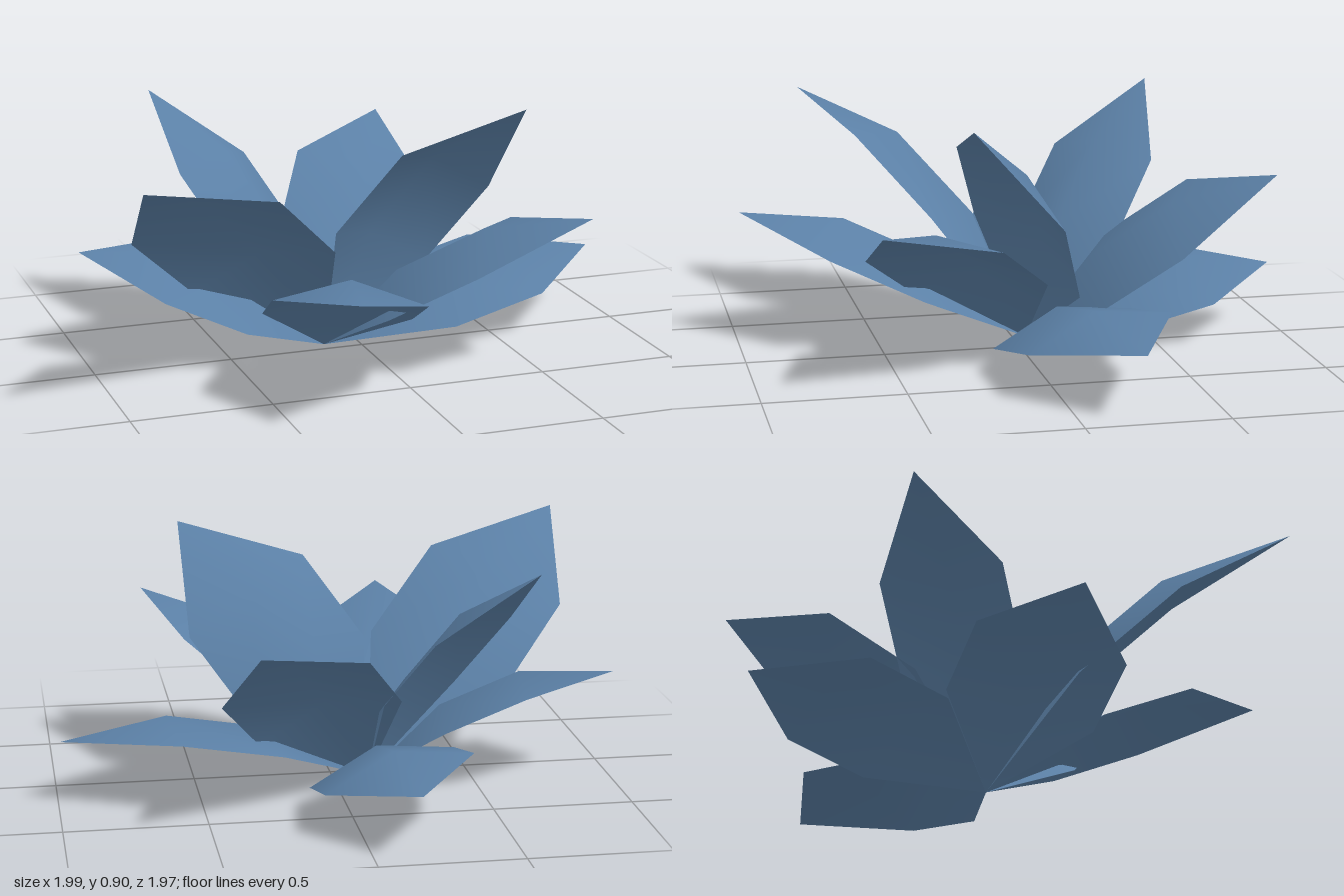
import * as THREE from 'three';

const leafBlue = new THREE.MeshStandardMaterial({ color: 0x5b80a6, side: THREE.DoubleSide });
leafBlue.name = 'leafBlue';

// All leaves sprout from one point at the bottom
const ROOT = new THREE.Vector3(-0.13, 0.005, -0.05);

// name, tip position, vector across the leaf, lift of its edges above the root-tip line
const LEAVES = [
  ['backLeaf', [-0.15, 0.235, -0.99], [0.52, -0.11, -0.04], 0.053],
  ['lowLeftLeaf', [0.99, 0.235, -0.21], [0.09, -0.095, 0.52], 0.053],
  ['frontLeaf', [-0.34, 0.48, 0.98], [0.515, -0.04, 0.12], 0.055],
  ['longFrontRightLeaf', [-0.98, 0.83, 0.68], [0.44, 0.18, 0.28], 0.09],
  ['frontLeftLeaf', [0.635, 0.58, 0.6], [-0.3, -0.08, 0.43], 0.058],
  ['backLeftLeaf', [0.36, 0.68, -0.85], [0.485, -0.18, 0.15], 0.053],
  ['uprightLeftLeaf', [0.52, 0.905, 0.27], [0.45, -0.22, -0.29], 0.085],
  ['uprightBackRightLeaf', [-0.62, 0.875, -0.63], [0.33, -0.013, -0.295], 0.05],
  ['lowRightLeaf', [-1.0, 0.4, -0.2], [-0.13, -0.09, 0.51], 0.053],
];
const ROWS = [0.357, 0.68]; // where the two wide rows sit along a leaf
const ARCH = 0.08;          // height of the midrib above the edges

function makeLeaf([name, tipAt, acrossAt, lift]) {
  const tip = new THREE.Vector3(...tipAt).sub(ROOT);
  const across = new THREE.Vector3(...acrossAt);
  const normal = across.clone().cross(tip).normalize();
  // the bulging face always looks upward
  if (normal.y < 0) {
    normal.negate();
    across.negate();
  }

  // root, two rows of edge / midrib / edge, tip
  const points = [new THREE.Vector3()];
  for (const t of ROWS) {
    for (const side of [-0.5, 0, 0.5]) {
      points.push(tip.clone().multiplyScalar(t)
        .addScaledVector(across, side)
        .addScaledVector(normal, lift + (side === 0 ? ARCH : 0)));
    }
  }
  points.push(tip);

  const index = [];
  for (const c of [1, 2]) {
    index.push(0, c + 1, c);
    index.push(c, c + 1, c + 4, c, c + 4, c + 3);
    index.push(c + 3, c + 4, 7);
  }
  // face order follows the upward normal
  const facing = points[2].clone().cross(points[1]).dot(normal);
  if (facing < 0) index.reverse();

  const geometry = new THREE.BufferGeometry().setFromPoints(points);
  geometry.setIndex(index);
  geometry.computeVertexNormals();
  const leaf = new THREE.Mesh(geometry, leafBlue);
  leaf.name = name;
  leaf.position.copy(ROOT);
  return leaf;
}

export function createModel() {
  const plant = new THREE.Group();
  plant.name = 'plant';
  for (const spec of LEAVES) plant.add(makeLeaf(spec));
  return plant;
}
